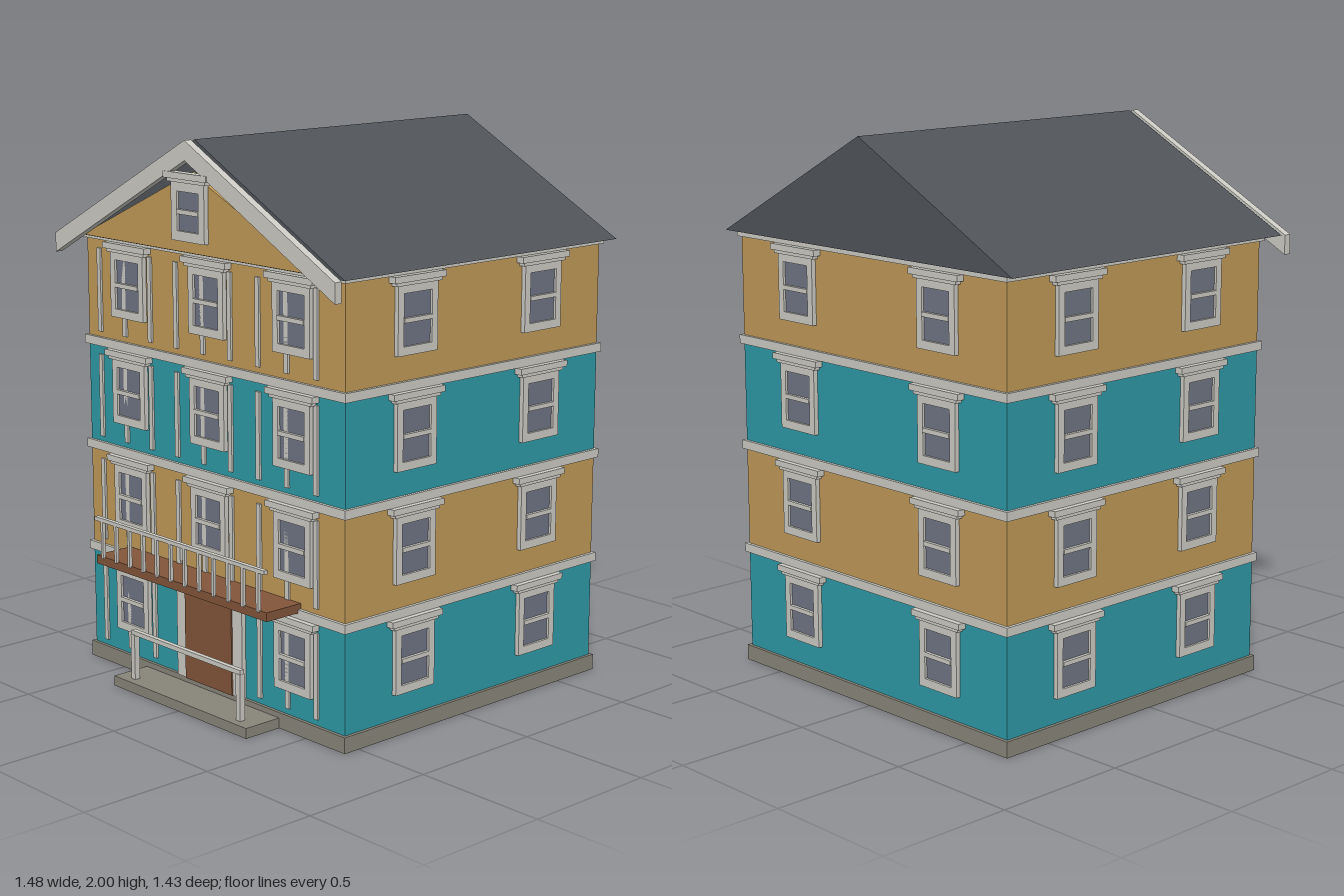
import * as THREE from 'three';

const mat = (name, color) => {
  const m = new THREE.MeshStandardMaterial({ color });
  m.name = name;
  return m;
};

export function createModel() {
  const teal = mat('teal wall', 0x2e9aa6);
  const gold = mat('ochre wall', 0xc19a58);
  const trim = mat('pale trim', 0xcdccc5);
  const slate = mat('slate roof', 0x505459);
  const stone = mat('stone', 0x88857a);
  const wood = mat('brown wood', 0x82553a);
  const glass = mat('window glass', 0x707584);

  const house = new THREE.Group();
  house.name = 'house';

  // Box given by its minimum and maximum corners
  function box(parent, name, material, x0, x1, y0, y1, z0, z1) {
    const mesh = new THREE.Mesh(new THREE.BoxGeometry(x1 - x0, y1 - y0, z1 - z0), material);
    mesh.position.set((x0 + x1) / 2, (y0 + y1) / 2, (z0 + z1) / 2);
    mesh.name = name;
    parent.add(mesh);
    return mesh;
  }

  // Outline in x and y, extruded from z0 to z1
  function slab(name, material, points, z0, z1) {
    const shape = new THREE.Shape(points.map(([x, y]) => new THREE.Vector2(x, y)));
    const geometry = new THREE.ExtrudeGeometry(shape, { depth: z1 - z0, bevelEnabled: false });
    const mesh = new THREE.Mesh(geometry, material);
    mesh.position.z = z0;
    mesh.name = name;
    house.add(mesh);
  }

  // Sash window facing +z, its wall at z = 0 and its sill at y = 0
  function addWindow(x, y, z, turn, w = 0.185, h = 0.235, t = 0.027) {
    const g = new THREE.Group();
    g.name = 'window';
    const a = w / 2;
    for (const s of [-1, 1]) {
      const e = s * (a - t / 2);
      box(g, 'frameSide', trim, e - t / 2, e + t / 2, 0, h, -0.005, 0.017);
    }
    box(g, 'frameSill', trim, -a + t, a - t, 0, t + 0.003, -0.005, 0.017);
    box(g, 'frameHead', trim, -a + t, a - t, h - t, h, -0.005, 0.017);
    box(g, 'pane', glass, -a + t, a - t, t, h - t, 0, 0.008);
    box(g, 'sashBar', trim, -a + t, a - t, h / 2 - 0.008, h / 2 + 0.008, 0, 0.02);
    box(g, 'lintelLower', trim, -a - 0.013, a + 0.013, h, h + 0.014, -0.005, 0.023);
    box(g, 'lintelUpper', trim, -a - 0.027, a + 0.027, h + 0.012, h + 0.034, -0.005, 0.03);
    g.position.set(x, y, z);
    g.rotation.y = turn;
    house.add(g);
  }

  const X = 0.683, FRONT = 0.553, BACK = -0.683, PITCH = 0.391;

  // Plinth and entrance step
  box(house, 'plinth', stone, -0.695, 0.695, 0, 0.057, -0.695, 0.565);
  box(house, 'entranceStep', stone, -0.365, 0.365, 0, 0.037, 0.56, 0.715);

  // Four storeys with bands, battens and windows
  for (let i = 0; i < 4; i++) {
    const y = i * PITCH;
    box(house, 'storey', i % 2 ? gold : teal, -X, X, y + 0.045, Math.min(y + 0.436, 1.608), BACK, FRONT);
    box(house, 'band', trim, -0.695, 0.695, y + 0.418, Math.min(y + 0.45, 1.61), -0.695, 0.565);

    for (let k = 0; k < 9; k++) {
      const x = -0.61 + k * 0.1445;
      if (i === 0 && Math.abs(x) < 0.15) continue;
      box(house, 'batten', trim, x - 0.01, x + 0.01, y + 0.08, y + 0.386, FRONT - 0.005, FRONT + 0.008);
    }

    const sill = y + 0.148;
    for (const x of i ? [-0.437, 0, 0.437] : [-0.437, 0.437]) addWindow(x, sill, FRONT, 0);
    for (const x of [-0.363, 0.363]) addWindow(x, sill, BACK, Math.PI);
    for (const z of [0.24, -0.373]) {
      addWindow(X, sill, z, Math.PI / 2);
      addWindow(-X, sill, z, -Math.PI / 2);
    }
  }

  // Front door and its jambs
  box(house, 'door', wood, -0.127, 0.127, 0.057, 0.42, 0.545, 0.575);
  for (const s of [-1, 1]) {
    const x = s * 0.152;
    box(house, 'doorJamb', trim, x - 0.026, x + 0.026, 0.057, 0.42, 0.545, 0.57);
  }

  // Handrail on the step
  for (const x of [-0.29, 0.29]) {
    box(house, 'handrailPost', trim, x - 0.011, x + 0.011, 0.037, 0.205, 0.664, 0.686);
  }
  box(house, 'handrail', trim, -0.3, 0.3, 0.203, 0.22, 0.666, 0.684);

  // Balcony with balustrade
  box(house, 'balconyDeck', wood, -0.465, 0.465, 0.438, 0.47, 0.553, 0.706);
  for (let k = 0; k < 12; k++) {
    const x = -0.424 + k * 0.0771;
    box(house, 'baluster', trim, x - 0.006, x + 0.006, 0.465, 0.605, 0.701, 0.713);
  }
  box(house, 'balconyRail', trim, -0.462, 0.462, 0.602, 0.616, 0.698, 0.715);

  // Gabled roof, gable panel and bargeboards
  slab('roof', slate, [[-0.738, 1.61], [0.738, 1.61], [0, 2]], -0.712, 0.608);
  slab('gablePanel', gold, [[-0.61, 1.615], [0.61, 1.615], [0, 1.89]], 0.6, 0.625);
  slab('bargeboards', trim, [
    [-0.74, 1.54], [0, 1.932], [0.74, 1.54], [0.74, 1.61], [0, 2], [-0.74, 1.61],
  ], 0.624, 0.653);
  addWindow(0, 1.655, 0.626, 0, 0.175, 0.2, 0.031);

  return house;
}
